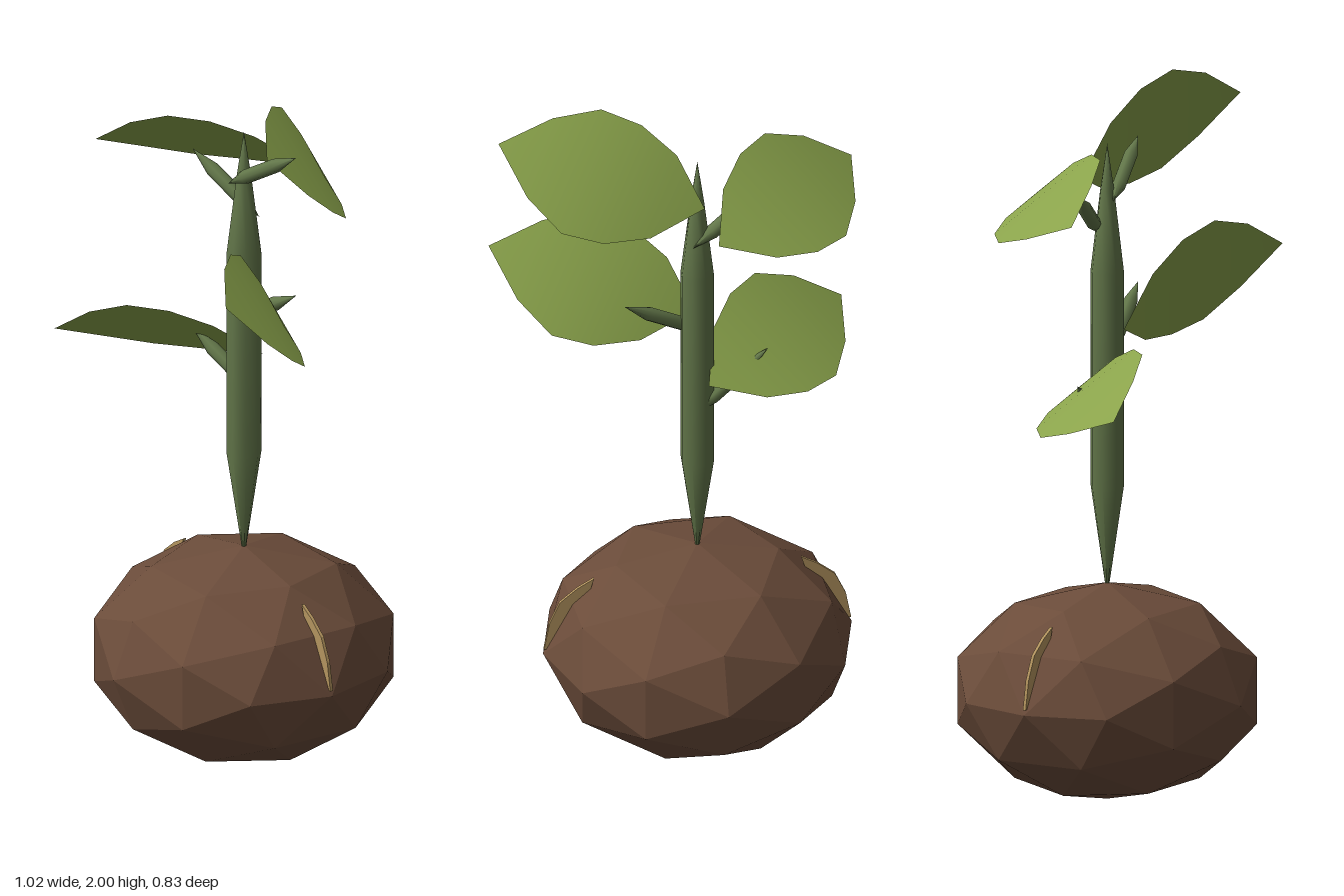
import * as THREE from 'three';

const mat = (name, color, extra = {}) => {
  const m = new THREE.MeshStandardMaterial({ color, ...extra });
  m.name = name;
  return m;
};
const V = (x, y, z) => new THREE.Vector3(x, y, z);

// Arched leaf blade spanned between base and tip; side points to its raised edge
function leafGeometry(base, tip, side) {
  const halfWidths = [0, 0.12, 0.172, 0.18, 0.115, 0];
  const along = tip.clone().sub(base);
  const normal = side.clone().cross(along).normalize();
  if (normal.y < 0) normal.negate();
  const n = halfWidths.length - 1;
  const pos = [], idx = [];
  halfWidths.forEach((w, i) => {
    const t = i / n;
    const mid = base.clone().addScaledVector(along, t).addScaledVector(normal, 0.17 * t * (1 - t));
    for (const s of [-1, 0, 1]) pos.push(...mid.clone().addScaledVector(side, s * w).toArray());
  });
  // Keep the face winding turned to the upper side
  const flip = along.clone().cross(side).dot(normal) < 0;
  for (let i = 0; i < n; i++) {
    for (let j = 0; j < 2; j++) {
      const a = i * 3 + j, b = a + 3, c = a + 1, d = a + 4;
      const tris = [];
      if (i < n - 1 || j === 1) tris.push([a, b, c]);
      if (i < n - 1 || j === 0) tris.push(i < n - 1 ? [b, d, c] : [a, b, c]);
      tris.forEach(([p, q, r]) => idx.push(...(flip ? [p, r, q] : [p, q, r])));
    }
  }
  const g = new THREE.BufferGeometry();
  g.setAttribute('position', new THREE.Float32BufferAttribute(pos, 3));
  g.setIndex(idx);
  g.computeVertexNormals();
  return g;
}

// Spindle running from a to b, pointed at both ends
function spindle(a, b, radius, material) {
  const len = a.distanceTo(b);
  const profile = [[0, 0], [radius, 0.25], [radius, 0.7], [0, 1]]
    .map(([r, t]) => new THREE.Vector2(r, t * len));
  const mesh = new THREE.Mesh(new THREE.LatheGeometry(profile, 8), material);
  mesh.position.copy(a);
  mesh.quaternion.setFromUnitVectors(V(0, 1, 0), b.clone().sub(a).normalize());
  return mesh;
}

export function createModel() {
  const brown = mat('tuber brown', 0x6b4c3a, { flatShading: true });
  const tan = mat('split tan', 0xb4955f);
  const stemGreen = mat('stem green', 0x63774a);
  const leafGreen = mat('leaf green', 0x8aa34b, { side: THREE.DoubleSide });

  const model = new THREE.Group();
  model.name = 'sproutingTuber';
  const add = (parent, name, object) => {
    object.name = name;
    parent.add(object);
    return object;
  };

  // Faceted tuber with a split in the skin on both sides
  const tuber = add(model, 'tuber', new THREE.Group());
  tuber.position.set(0.025, 0.302, 0);
  tuber.rotation.y = -0.3;
  const body = add(tuber, 'tuberBody', new THREE.Mesh(new THREE.IcosahedronGeometry(0.432, 1), brown));
  body.scale.y = 0.7;
  const fin = new THREE.Shape([[0.29, 0.225], [0.335, 0.2], [0.385, 0.16], [0.415, 0.095],
    [0.43, 0.015], [0.38, 0.02], [0.31, 0.16]].map(([x, y]) => new THREE.Vector2(x, y)));
  const finGeo = new THREE.ExtrudeGeometry(fin, { depth: 0.009, bevelEnabled: false });
  finGeo.translate(0, 0, -0.0045);
  for (let i = 0; i < 2; i++) {
    add(tuber, 'skinSplit', new THREE.Mesh(finGeo, tan)).rotation.y = i * Math.PI;
  }

  // Stem tapering at both ends
  const profile = [[0, 0.56], [0.048, 0.88], [0.048, 1.47], [0.02, 1.7], [0, 1.83]]
    .map(([r, y]) => new THREE.Vector2(r, y));
  const stem = add(model, 'stem', new THREE.Mesh(new THREE.LatheGeometry(profile, 8), stemGreen));
  stem.position.x = 0.025;

  // Two tiers of leaves; the lower one repeats the upper one shifted
  const sides = [
    { name: 'Left', drop: -0.408, base: V(0.044, 1.725, -0.077), tip: V(0.51, 1.895, 0.25),
      side: V(-0.459, 0.863, 0.209), from: V(-0.01, 1.675, 0.025), to: V(0.235, 1.815, 0.032) },
    { name: 'Right', drop: -0.53, base: V(0.07, 1.68, -0.205), tip: V(-0.473, 1.69, 0.03),
      side: V(0.31, 0.62, 0.716), from: V(0.055, 1.575, -0.03), to: V(-0.18, 1.718, -0.03) },
  ];
  for (const s of sides) {
    const geo = leafGeometry(s.base, s.tip, s.side.clone().normalize());
    ['upper', 'lower'].forEach((tier, i) => {
      const leaf = add(model, `${tier}${s.name}Leaf`, new THREE.Mesh(geo, leafGreen));
      leaf.position.set(-0.04 * i, s.drop * i, 0.13 * i);
      const stalk = add(model, `${tier}${s.name}LeafStalk`, spindle(s.from, s.to, 0.02, stemGreen));
      stalk.position.y += s.drop * i;
    });
  }
  return model;
}
